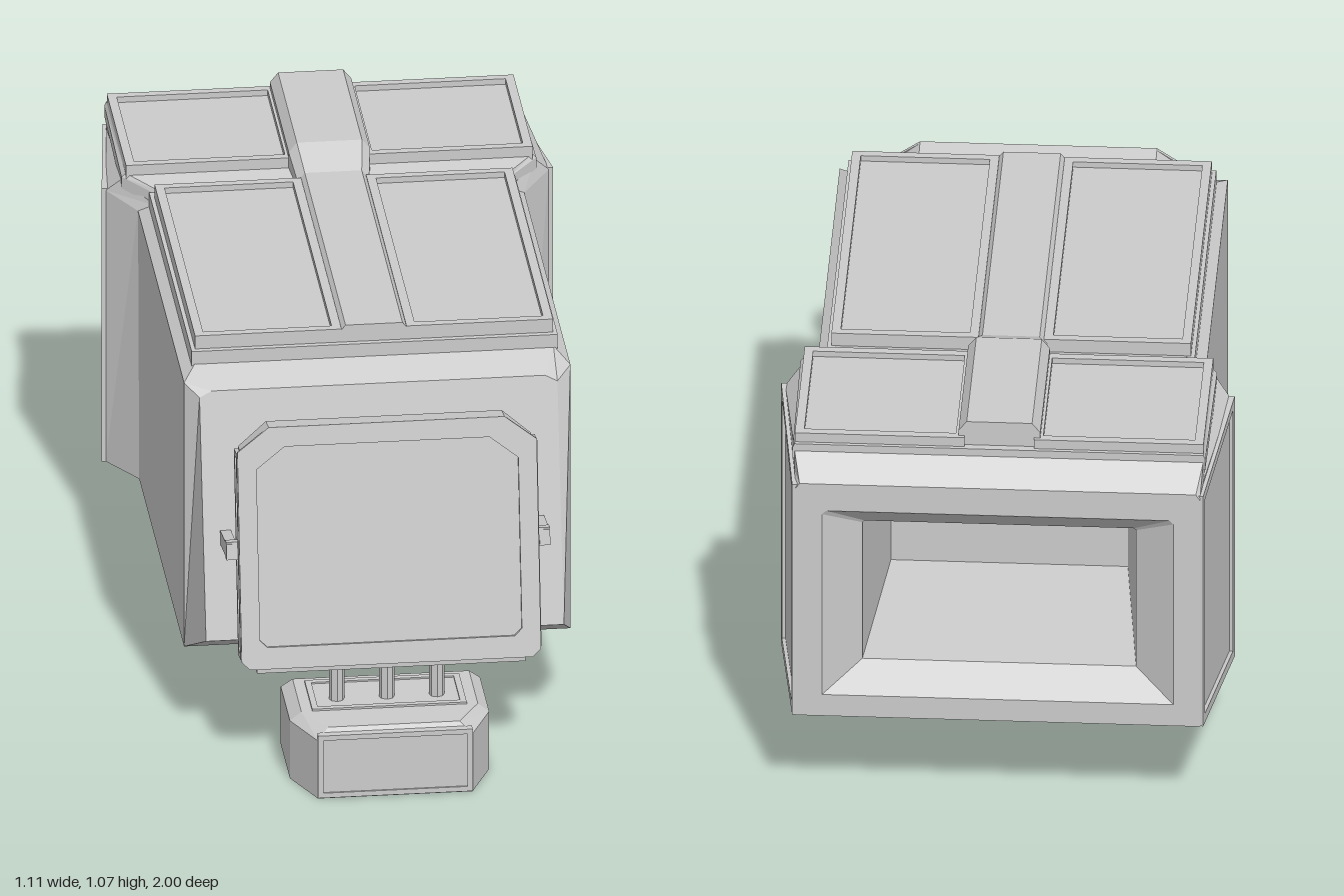
import * as THREE from 'three';

const grey = new THREE.MeshStandardMaterial({ color: 0xcccccc, flatShading: true });

function add(parent, name, geometry, x = 0, y = 0, z = 0) {
  const mesh = new THREE.Mesh(geometry, grey);
  mesh.name = name;
  mesh.position.set(x, y, z);
  parent.add(mesh);
  return mesh;
}

// Flat-faced geometry from convex polygons of [x, y, z] corners
function faces(polygons) {
  const pos = [];
  for (const p of polygons)
    for (let i = 1; i < p.length - 1; i++) pos.push(...p[0], ...p[i], ...p[i + 1]);
  const g = new THREE.BufferGeometry();
  g.setAttribute('position', new THREE.Float32BufferAttribute(pos, 3));
  g.computeVertexNormals();
  return g;
}

// Skin over rings running front to back, closed at both ends
function loft(rings) {
  const polys = [rings[0], [...rings[rings.length - 1]].reverse()];
  for (let r = 0; r < rings.length - 1; r++) {
    const A = rings[r], B = rings[r + 1];
    A.forEach((_, i) => {
      const j = (i + 1) % A.length;
      polys.push([A[i], B[i], B[j], A[j]]);
    });
  }
  return faces(polys);
}

// Six-cornered section: straight sides, chamfered top
const section = (w, y0, y1, t, yt, z, zTop = z, zLow = z) => [
  [-w, y0, zLow], [w, y0, zLow], [w, y1, z], [t, yt, zTop], [-t, yt, zTop], [-w, y1, z],
];

// Raised rim around a sunken panel; corners counter-clockwise from outside
function rimmedPanel(corners, inset, depth, skirt = depth) {
  const P = corners.map((c) => new THREE.Vector3(...c));
  const n = P[1].clone().sub(P[0]).cross(P[3].clone().sub(P[0])).normalize();
  const toward = (p, q) => q.clone().sub(p).normalize().multiplyScalar(inset);
  const inner = P.map((p, i) => p.clone().add(toward(p, P[(i + 1) % 4])).add(toward(p, P[(i + 3) % 4])));
  const lower = (list, d) => list.map((p) => p.clone().addScaledVector(n, -d));
  const loops = [lower(P, skirt), P, inner, lower(inner, depth)].map((l) => l.map((p) => p.toArray()));
  const polys = [loops[3]];
  for (let k = 0; k < 3; k++)
    for (let i = 0; i < 4; i++) {
      const j = (i + 1) % 4;
      polys.push([loops[k][i], loops[k][j], loops[k + 1][j], loops[k + 1][i]]);
    }
  return faces(polys);
}

const mirrored = (corners) => corners.map(([x, y, z]) => [-x, y, z]).reverse();

function bothSides(parent, name, corners, inset, depth, skirt) {
  add(parent, 'left' + name, rimmedPanel(corners, inset, depth, skirt));
  add(parent, 'right' + name, rimmedPanel(mirrored(corners), inset, depth, skirt));
}

const topRect = (x0, x1, z0, z1, y) => [[x0, y, z1], [x1, y, z1], [x1, y, z0], [x0, y, z0]];

// Tall octagonal outline with large top cuts and small bottom cuts
function doorOutline(w, y0, y1, cutX, cutY, low, Type = THREE.Shape) {
  return new Type([
    [-w + low, y0], [w - low, y0], [w, y0 + low], [w, y1 - cutY],
    [w - cutX, y1], [-w + cutX, y1], [-w, y1 - cutY], [-w, y0 + low],
  ].map((p) => new THREE.Vector2(...p)));
}

const extrude = (shape, depth) => new THREE.ExtrudeGeometry(shape, { depth, bevelEnabled: false });

export function createModel() {
  const model = new THREE.Group();
  model.name = 'housing';

  // Hull: sloped nose, long body, flared rear and hollow rear opening
  add(model, 'hull', loft([
    section(0.44, 0.30, 0.89, 0.41, 0.905, 0.557, 0.553, 0.70),
    section(0.475, 0.21, 0.92, 0.44, 0.945, 0.53, 0.47),
    section(0.475, 0.21, 0.92, 0.44, 0.945, -0.475, -0.45, -0.45),
    section(0.545, 0.21, 0.94, 0.505, 0.985, -0.56, -0.53),
    section(0.50, 0.257, 0.925, 0.50, 0.98, -0.945),
    section(0.495, 0.265, 0.905, 0.485, 0.92, -1),
    section(0.43, 0.325, 0.835, 0.42, 0.845, -1),
    section(0.335, 0.39, 0.775, 0.33, 0.78, -0.93),
    section(0.29, 0.42, 0.74, 0.28, 0.75, -0.5),
  ]));
  bothSides(model, 'RearSidePanel', [
    [0.555, 0.21, -0.56], [0.503, 0.265, -0.998], [0.503, 0.915, -0.998], [0.555, 0.945, -0.56],
  ], 0.025, 0.009, 0.02);

  // Roof plates, with a sloped step up to the rear
  add(model, 'frontRoofPlate', new THREE.BoxGeometry(0.9, 0.04, 0.93), 0, 0.957, 0.01);
  add(model, 'rearRoofPlate', loft([
    section(0.435, 0.94, 0.965, 0.43, 0.975, -0.42),
    section(0.435, 0.94, 0.975, 0.43, 0.985, -0.45),
    section(0.51, 0.96, 0.99, 0.50, 1.0, -0.525),
    section(0.505, 0.96, 0.99, 0.50, 1.0, -0.945),
  ]));
  bothSides(model, 'FrontRoofPanel', topRect(0.08, 0.44, -0.425, 0.46, 1.012), 0.022, 0.015, 0.04);
  bothSides(model, 'RearRoofPanel', topRect(0.085, 0.50, -0.935, -0.515, 1.025), 0.022, 0.015, 0.04);

  // Central ridge running the length of the roof
  add(model, 'roofRidge', loft([
    section(0.088, 0.97, 1.0, 0.07, 1.022, 0.46),
    section(0.088, 0.97, 1.0, 0.07, 1.022, -0.43),
    section(0.10, 0.99, 1.04, 0.08, 1.065, -0.515),
    section(0.10, 0.99, 1.04, 0.08, 1.065, -0.925),
  ]));

  // Tilted front shield: slab, rim and rimmed side edges
  const shield = new THREE.Group();
  shield.name = 'frontShield';
  shield.position.set(0, 0.578, 0.757);
  shield.rotation.x = -0.18;
  model.add(shield);
  add(shield, 'shieldSlab', extrude(doorOutline(0.36, -0.305, 0.305, 0.07, 0.06, 0.02), 0.055), 0, 0, -0.03);
  const rim = doorOutline(0.368, -0.305, 0.305, 0.078, 0.06, 0.02);
  rim.holes.push(doorOutline(0.322, -0.25, 0.255, 0.07, 0.055, 0.018, THREE.Path));
  add(shield, 'shieldRim', extrude(rim, 0.008), 0, 0, 0.025);
  bothSides(shield, 'ShieldEdge', [
    [0.37, -0.28, 0.026], [0.37, -0.28, -0.03], [0.37, 0.24, -0.03], [0.37, 0.24, 0.026],
  ], 0.014, 0.009, 0.012);

  // Arms holding the shield to the nose
  for (const s of [-1, 1]) {
    const arm = new THREE.Group();
    arm.name = s > 0 ? 'leftArm' : 'rightArm';
    arm.position.set(s * 0.385, 0.56, 0.7);
    arm.rotation.x = -0.18;
    add(arm, 'armBar', new THREE.BoxGeometry(0.026, 0.036, 0.15));
    add(arm, 'armPin', new THREE.BoxGeometry(0.05, 0.045, 0.025), -s * 0.012, 0, 0.06);
    model.add(arm);
  }

  // Foot block with tapered front and chamfered top
  const foot = new THREE.Group();
  foot.name = 'foot';
  foot.position.x = -0.008;
  model.add(foot);
  const footLoop = (y, d) => [
    [-0.245 + d, y, 0.67 + d * 0.3], [0.245 - d, y, 0.67 + d * 0.3], [0.245 - d, y, 0.87],
    [0.19 - d, y, 0.995 - d], [-0.19 + d, y, 0.995 - d], [-0.245 + d, y, 0.87],
  ];
  add(foot, 'footBlock', loft([footLoop(0, 0), footLoop(0.155, 0), footLoop(0.178, 0.028)]));
  add(foot, 'footFrontPanel', rimmedPanel(
    [[-0.19, 0.003, 1], [0.19, 0.003, 1], [0.19, 0.17, 1], [-0.19, 0.17, 1]], 0.013, 0.004, 0.02));
  add(foot, 'footTopPanel', rimmedPanel(topRect(-0.19, 0.19, 0.7, 0.87, 0.183), 0.015, 0.004, 0.01));

  // Three posts joining the foot to the shield, with a collar under the shield
  for (const x of [-0.123, 0, 0.123])
    add(foot, 'post', new THREE.CylinderGeometry(0.019, 0.019, 0.15, 8), x, 0.23, 0.805);
  add(model, 'shieldCollar', new THREE.BoxGeometry(0.66, 0.025, 0.05), 0, 0.283, 0.812);

  return model;
}
